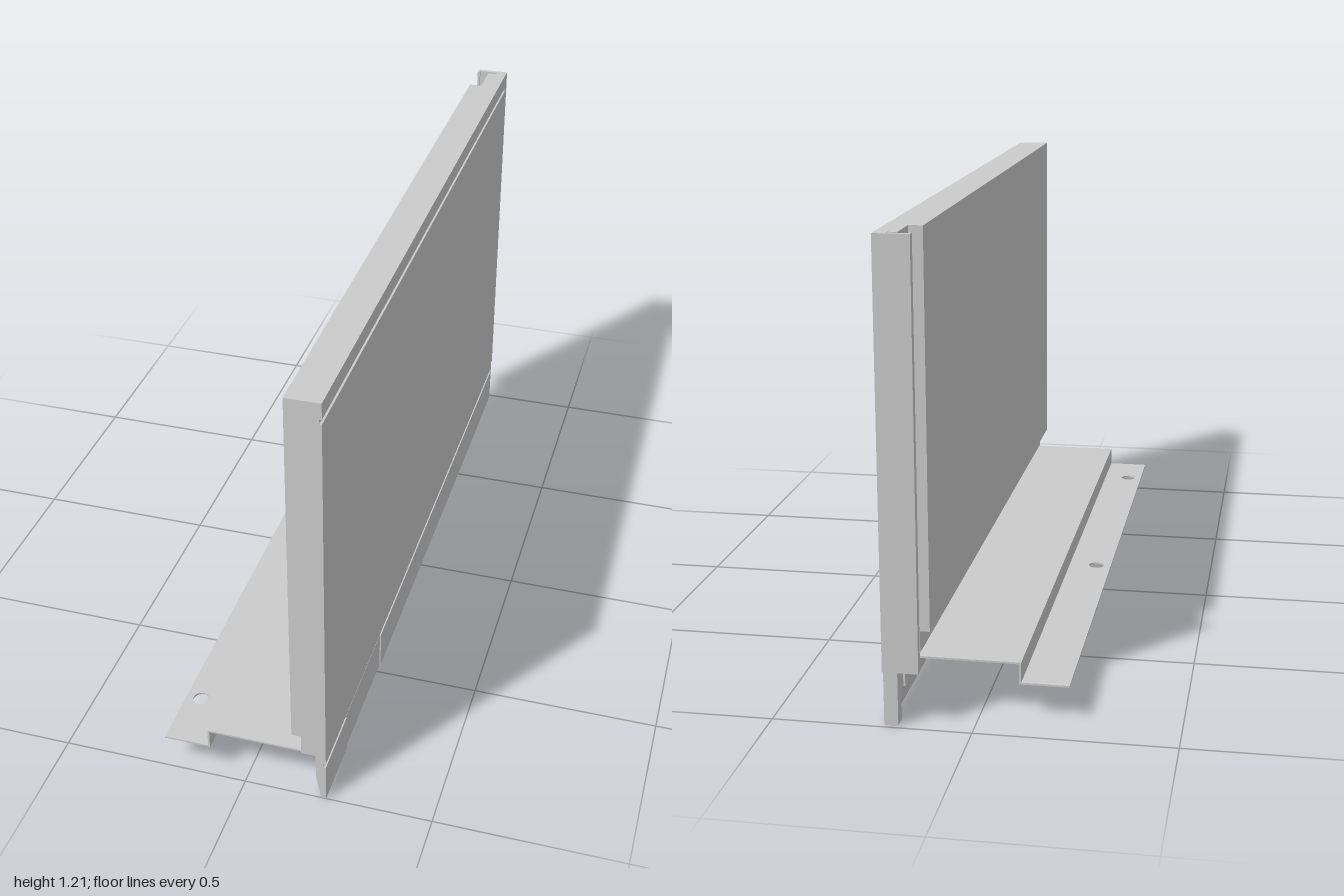
import * as THREE from 'three';

const material = new THREE.MeshStandardMaterial({ color: 0xcccccc, flatShading: true });

export function createModel() {
  const model = new THREE.Group();

  const add = (name, geometry) => {
    const mesh = new THREE.Mesh(geometry, material);
    mesh.name = name;
    model.add(mesh);
    return mesh;
  };

  // Sweeps an x-y cross-section along z from z0 to z1
  const sweep = (name, points, z0, z1) => {
    const shape = new THREE.Shape(points.map(([x, y]) => new THREE.Vector2(x, y)));
    const geometry = new THREE.ExtrudeGeometry(shape, { depth: z1 - z0, bevelEnabled: false });
    return add(name, geometry.translate(0, 0, z0));
  };

  const box = (name, x0, x1, y0, y1, z0, z1) =>
    add(name, new THREE.BoxGeometry(x1 - x0, y1 - y0, z1 - z0)
      .translate((x0 + x1) / 2, (y0 + y1) / 2, (z0 + z1) / 2));

  const outer = 0.22, top = 1.21, shelf = 0.143;

  // Outer face with its upper groove, shared by both panel sections
  const face = [
    [outer, shelf], [outer, 1.155], [outer - 0.006, 1.155],
    [outer - 0.006, 1.167], [outer, 1.167], [outer, top],
  ];

  // Main panel, rebated along its lower inner edge
  sweep('panel', [...face, [0.13, top], [0.13, 0.2], [0.155, 0.2], [0.155, shelf]], -0.87, 1);

  // Thinner panel end beyond the shoulder
  sweep('panelEnd', [...face, [0.165, top], [0.165, shelf]], -0.975, -0.87);

  // Overlapping end flange with a short return
  box('endPost', 0.19, outer, shelf, top, -0.988, -0.975);
  box('endFlange', 0.13, outer, shelf, top, -1, -0.988);
  box('endFlangeReturn', 0.13, 0.137, shelf, top, -0.988, -0.98);

  // Tapered lower lip with the lower groove; the middle length is slightly recessed
  const lip = (name, z0, z1, inset) => {
    const x = outer - inset;
    sweep(name, [
      [0.207, 0], [x, 0], [x, 0.109], [outer - 0.006, 0.109],
      [outer - 0.006, 0.121], [outer, 0.121], [outer, shelf], [0.195, shelf], [0.195, 0.06],
    ], z0, z1);
  };
  lip('lipFront', 0.81, 1, 0);
  lip('lipRecess', 0.47, 0.81, 0.003);
  lip('lipBack', -0.975, 0.47, 0);

  // Closing block at the back end of the lip
  box('lipEnd', 0.185, outer, 0, shelf, -0.988, -0.975);
  box('lipEndReturn', 0.185, 0.208, 0, shelf, -0.975, -0.95);

  // Folded sheet bracket: shelf, riser and inner leg
  const t = 0.005, z0 = -0.89, z1 = 0.99;
  sweep('bracketShelf', [
    [-0.102, 0.085], [-0.097, 0.085], [-0.097, shelf - t], [0.19, shelf - t],
    [0.19, 0.06], [0.195, 0.06], [0.195, shelf], [-0.102, shelf],
  ], z0, z1);

  // Mounting flange with two round holes
  const flange = new THREE.Shape();
  flange.moveTo(-0.222, -z1).lineTo(-0.102, -z1).lineTo(-0.102, -z0).lineTo(-0.222, -z0);
  for (const z of [-0.04, 0.83]) {
    flange.holes.push(new THREE.Path().absarc(-0.18, -z, 0.022, 0, Math.PI * 2, true));
  }
  add('mountingFlange', new THREE.ExtrudeGeometry(flange, { depth: t, bevelEnabled: false, curveSegments: 24 })
    .rotateX(-Math.PI / 2).translate(0, 0.085, 0));

  return model;
}
